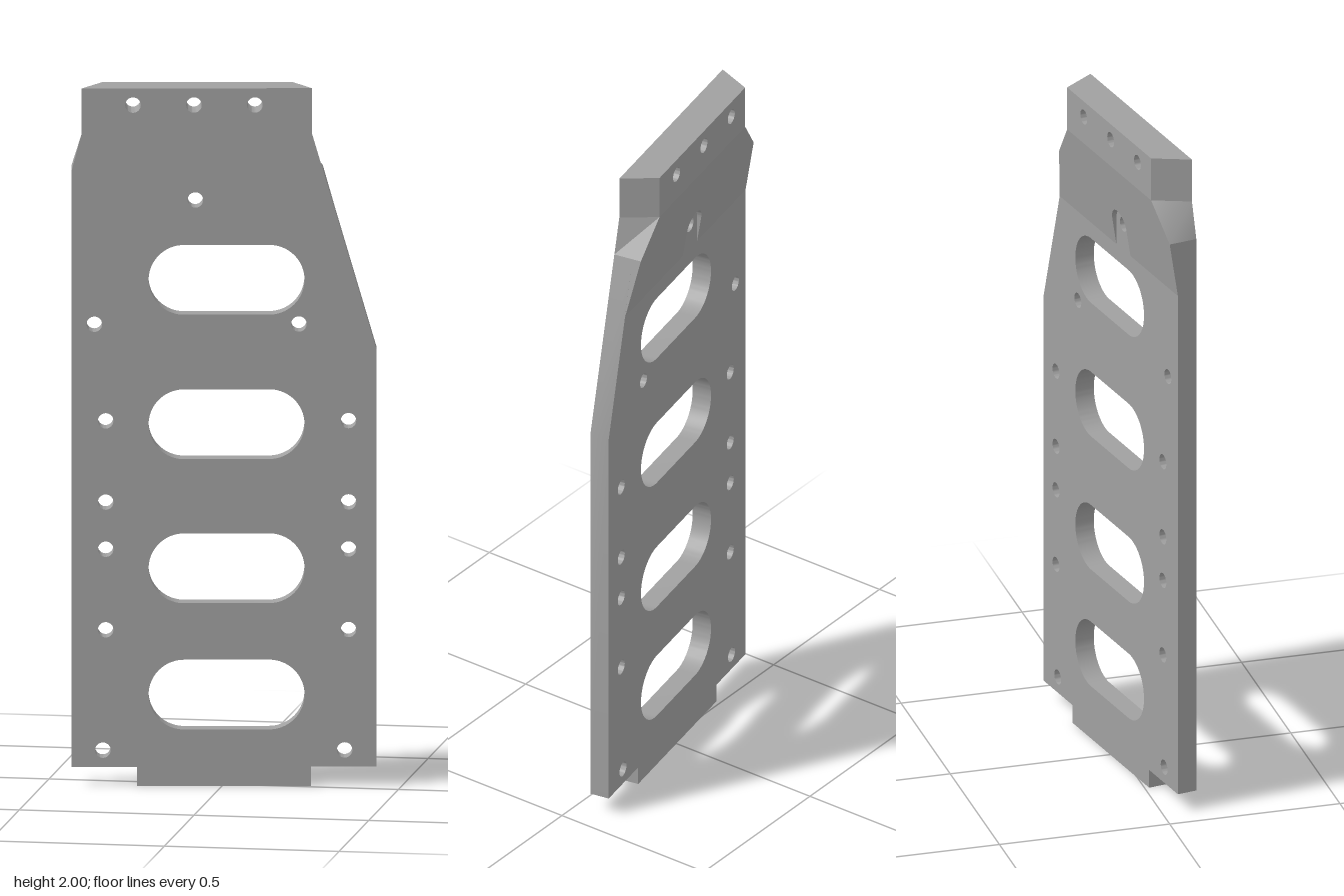
import * as THREE from 'three';
import { toCreasedNormals } from 'three/addons/utils/BufferGeometryUtils.js';

const FRONT = 0.028, BACK = -0.03;        // faces of the thin plate
const RAMP = 1.6, NECK = 1.765, HEAD = 1.87, TOP = 2; // heights of the changes in section
const HOLE_R = 0.022;

// Depth of the back face: thin plate, ramp, then thick head
function backAt(y) {
  const t = THREE.MathUtils.clamp((y - RAMP) / (HEAD - RAMP), 0, 1);
  return BACK - 0.042 * t;
}

function outline(points) {
  return new THREE.Shape(points.map(([x, y]) => new THREE.Vector2(x, y)));
}

function drill(shape, x, y) {
  const p = new THREE.Path();
  p.absarc(x, y, HOLE_R, 0, Math.PI * 2, true);
  shape.holes.push(p);
}

function slot(shape, x, y, halfLength, r) {
  const p = new THREE.Path();
  p.absarc(x + halfLength - r, y, r, -Math.PI / 2, Math.PI / 2, false);
  p.absarc(x - halfLength + r, y, r, Math.PI / 2, Math.PI * 1.5, false);
  p.closePath();
  shape.holes.push(p);
}

// Extrude a profile, then push its back vertices onto the ramp and mitred head
function slab(name, shape, front, material, sloped) {
  const geo = new THREE.ExtrudeGeometry(shape, { depth: 1, bevelEnabled: false, curveSegments: 20 });
  const pos = geo.attributes.position;
  for (let i = 0; i < pos.count; i++) {
    const x = pos.getX(i), y = pos.getY(i);
    if (pos.getZ(i) > 0.5) {
      pos.setZ(i, front);
      continue;
    }
    pos.setZ(i, sloped ? backAt(y) : BACK);
    if (sloped && y > HEAD - 0.001) {
      if (x < -0.35) pos.setX(i, x + 0.058);
      if (x > 0.2) pos.setX(i, x - 0.054);
    }
  }
  const mesh = new THREE.Mesh(toCreasedNormals(geo, 0.6), material);
  mesh.name = name;
  return mesh;
}

export function createModel() {
  const grey = new THREE.MeshStandardMaterial({ color: 0xa0a0a0 });
  grey.name = 'plain grey';
  const panel = new THREE.Group();
  panel.name = 'slottedPanel';

  // Thin plate with bottom tab, slots and screw holes
  const plate = outline([
    [-0.245, 0], [0.246, 0], [0.246, 0.055], [0.431, 0.055], [0.431, 1.25],
    [0.28, NECK], [-0.429, NECK], [-0.429, 0.055], [-0.245, 0.055],
  ]);
  for (const y of [0.262, 0.624, 1.037, 1.451]) slot(plate, 0.008, y, 0.22, 0.1);
  for (const y of [0.448, 0.679, 0.814, 1.047]) {
    drill(plate, -0.333, y);
    drill(plate, 0.352, y);
  }
  drill(plate, -0.341, 0.103);
  drill(plate, 0.341, 0.103);
  drill(plate, -0.365, 1.324);
  drill(plate, 0.212, 1.324);
  const hx = -0.08, hy = 1.68;
  drill(plate, hx, hy);
  panel.add(slab('mainPlate', plate, FRONT, grey, false));

  // Ramp on the back, notched around the single upper hole
  const r = 0.045;
  const wedge = new THREE.Shape();
  wedge.moveTo(-0.429, RAMP);
  wedge.lineTo(hx - r, RAMP);
  wedge.lineTo(hx - r, hy);
  wedge.absarc(hx, hy, r, Math.PI, 0, true);
  wedge.lineTo(hx + r, RAMP);
  wedge.lineTo(0.328, RAMP);
  wedge.lineTo(0.28, NECK);
  wedge.lineTo(-0.429, NECK);
  wedge.closePath();
  panel.add(slab('backRamp', wedge, BACK, grey, true));

  // Neck narrowing into the mitred head
  const neck = outline([[-0.429, NECK], [0.28, NECK], [0.249, HEAD], [-0.401, HEAD]]);
  panel.add(slab('neck', neck, FRONT, grey, true));

  // Thick head with three holes
  const head = outline([[-0.401, HEAD], [0.249, HEAD], [0.249, TOP], [-0.401, TOP]]);
  for (const x of [-0.256, -0.084, 0.088]) drill(head, x, 1.952);
  panel.add(slab('head', head, FRONT, grey, true));

  // The whole panel is turned slightly about the vertical
  panel.rotation.y = THREE.MathUtils.degToRad(10);
  const model = new THREE.Group();
  model.name = 'model';
  model.add(panel);
  return model;
}
